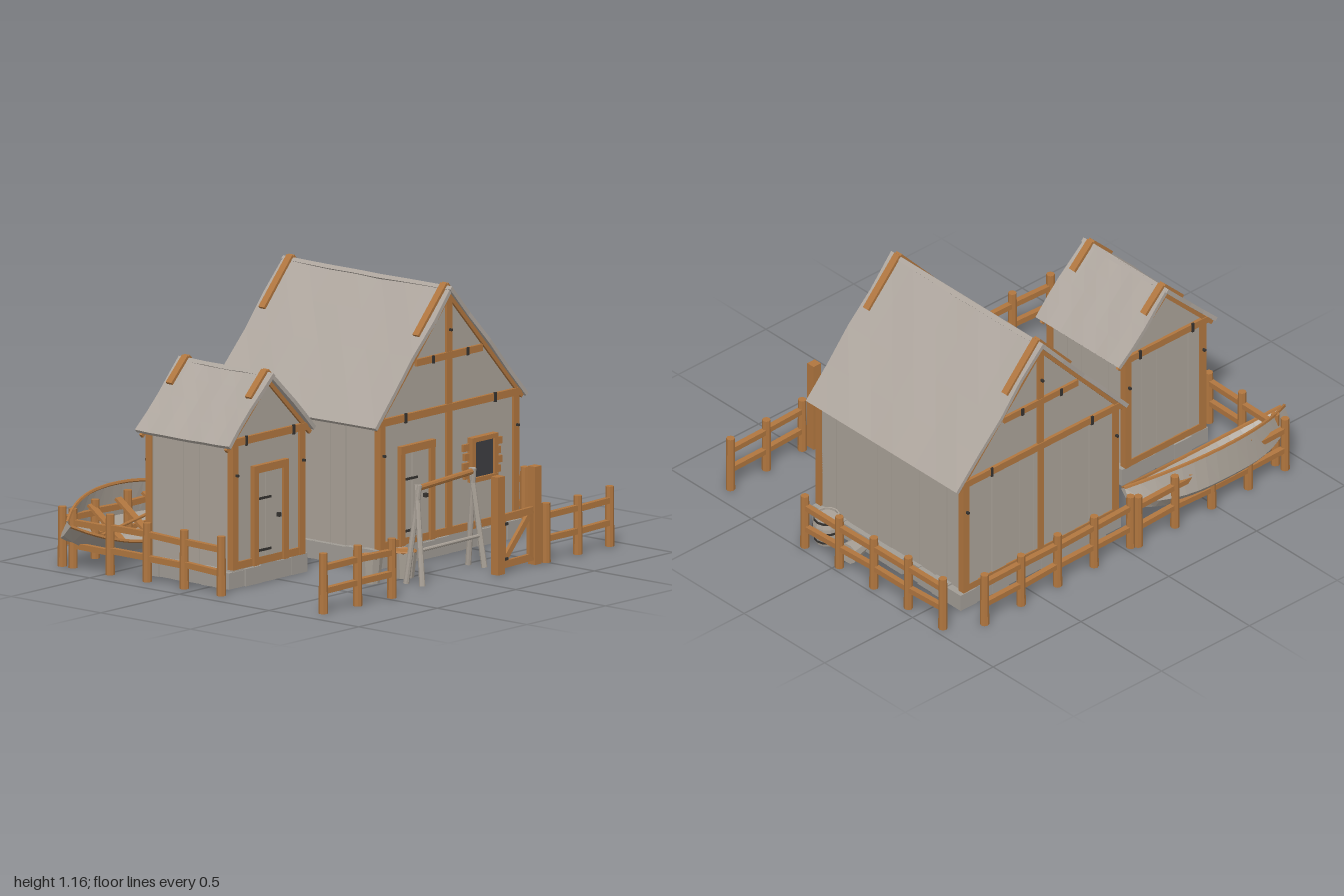
import * as THREE from 'three';

const mat = (name, color, extra = {}) => {
  const m = new THREE.MeshStandardMaterial({ color, flatShading: true, ...extra });
  m.name = name;
  return m;
};
const V = (x, y, z) => new THREE.Vector3(x, y, z);

export function createModel() {
  const model = new THREE.Group();
  const wood = mat('brown timber', 0xb0763f);
  const plank = mat('weathered planks', 0xaaa298);
  const roofMat = mat('roof boards', 0xaea69e);
  const stone = mat('foundation stone', 0xa19c95);
  const iron = mat('dark iron', 0x35322f);
  const glass = mat('dark window', 0x3e3e42);
  const hullMat = mat('boat boards', 0xaaa298, { side: THREE.DoubleSide });

  let seed = 7;
  const rnd = () => (seed = (seed * 16807) % 2147483647) / 2147483647;

  const add = (parent, name, geo, m) => {
    const mesh = new THREE.Mesh(geo, m);
    mesh.name = name;
    parent.add(mesh);
    return mesh;
  };
  const group = (name, parent = model) => {
    const g = new THREE.Group();
    g.name = name;
    parent.add(g);
    return g;
  };
  // box given by its limits
  const box = (p, name, m, x0, x1, y0, y1, z0, z1) => {
    const b = add(p, name, new THREE.BoxGeometry(x1 - x0, y1 - y0, z1 - z0), m);
    b.position.set((x0 + x1) / 2, (y0 + y1) / 2, (z0 + z1) / 2);
    return b;
  };
  const between = (mesh, a, b) => {
    mesh.position.copy(a).add(b).multiplyScalar(0.5);
    mesh.quaternion.setFromUnitVectors(V(0, 1, 0), b.clone().sub(a).normalize());
    return mesh;
  };
  const bar = (p, name, m, a, b, w, d = w) =>
    between(add(p, name, new THREE.BoxGeometry(w, a.distanceTo(b), d), m), a, b);
  const pole = (p, name, m, a, b, r, r2 = r) =>
    between(add(p, name, new THREE.CylinderGeometry(r2, r, a.distanceTo(b), 8), m), a, b);

  // ---- houses ----
  function house(name, o) {
    const g = group(name);
    const { cx, hw, zf, zb, rw, rf, rb, ridge, eave } = o;
    const slope = (ridge - eave) / rw, ang = Math.atan(slope);
    const x0 = cx - hw, x1 = cx + hw, apex = ridge - 0.03;

    // foundation ring of stones
    const stones = (len, put) => {
      const n = Math.round(len / 0.09);
      for (let i = 0; i < n; i++) put((i * len) / n, ((i + 1) * len) / n, 0.07 + rnd() * 0.015, rnd() * 0.012);
    };
    const fx0 = x0 - 0.025, fx1 = x1 + 0.025, fz0 = zb - 0.015, fz1 = zf + 0.015;
    stones(fx1 - fx0, (a, b, h, j) => {
      box(g, 'foundationStone', stone, fx0 + a, fx0 + b, 0, h, fz1 - 0.09, fz1 - j);
      box(g, 'foundationStone', stone, fx0 + a, fx0 + b, 0, h, fz0 + j, fz0 + 0.09);
    });
    stones(fz1 - fz0 - 0.18, (a, b, h, j) => {
      box(g, 'foundationStone', stone, fx0 + j, fx0 + 0.09, 0, h, fz0 + 0.09 + a, fz0 + 0.09 + b);
      box(g, 'foundationStone', stone, fx1 - 0.09, fx1 - j, 0, h, fz0 + 0.09 + a, fz0 + 0.09 + b);
    });

    // gable walls
    const s = new THREE.Shape([
      new THREE.Vector2(x0, 0.07), new THREE.Vector2(x1, 0.07),
      new THREE.Vector2(x1, apex - slope * hw), new THREE.Vector2(cx, apex),
      new THREE.Vector2(x0, apex - slope * hw)]);
    for (const z of [zf - 0.02, zb])
      add(g, 'gableWall', new THREE.ExtrudeGeometry(s, { depth: 0.02, bevelEnabled: false }), plank).position.z = z;

    // vertical planks on the sides and the back
    const planks = (len, put) => {
      const n = Math.round(len / 0.082);
      for (let i = 0; i < n; i++) put((i * len) / n + 0.001, ((i + 1) * len) / n - 0.001, rnd() * 0.007);
    };
    planks(zf - zb - 0.04, (a, b, j) => {
      box(g, 'sidePlank', plank, x0 + j, x0 + 0.02, 0.07, 0.64, zb + 0.02 + a, zb + 0.02 + b);
      box(g, 'sidePlank', plank, x1 - 0.02, x1 - j, 0.07, 0.64, zb + 0.02 + a, zb + 0.02 + b);
    });
    planks(x1 - x0, (a, b, j) => box(g, 'backPlank', plank, x0 + a, x0 + b, 0.07, 0.62, zb - 0.009 + j, zb));

    // timber frame on both ends
    for (const [z, d] of [[zf, 1], [zb, -1]]) {
      const lo = Math.min(z - d * 0.02, z + d * 0.012), hi = Math.max(z - d * 0.02, z + d * 0.012);
      box(g, 'cornerPost', wood, x0 - 0.008, x0 + 0.027, 0.08, 0.62, lo, hi);
      box(g, 'cornerPost', wood, x1 - 0.027, x1 + 0.008, 0.08, 0.62, lo, hi);
      box(g, 'sillBeam', wood, x0, x1, 0.08, 0.112, lo + 0.002, hi - 0.002);
      box(g, 'tieBeam', wood, x0 - 0.025, x1 + 0.025, 0.61, 0.642, lo - 0.003, hi + 0.003);
      const zi = z + d * 0.016;
      for (const sx of [-1, 1]) {
        box(g, 'beamStrap', iron, cx + sx * o.strap - 0.006, cx + sx * o.strap + 0.006, 0.605, 0.647, zi - 0.004, zi + 0.004);
        box(g, 'postNail', iron, cx + sx * (hw - 0.01) - 0.005, cx + sx * (hw - 0.01) + 0.005, 0.48, 0.49, zi - 0.01, zi + 0.01);
        // rafter below the roof edge
        bar(g, 'rafter', wood, V(cx, apex - 0.01, z + d * 0.004), V(cx + sx * rw * 0.95, apex - 0.01 - slope * rw * 0.95, z + d * 0.004), 0.018, 0.014);
        // short cap board over the ridge
        const l = o.cap, off = 0.004;
        bar(g, 'ridgeCap', wood, V(cx, ridge + off, z - d * o.capIn), V(cx + sx * l, ridge + off - slope * l, z - d * o.capIn), 0.018, 0.032);
      }
      if (o.cross) {
        box(g, 'gablePost', wood, cx - 0.017, cx + 0.017, 0.11, apex - 0.02, lo + 0.001, hi - 0.001);
        box(g, 'gableCrossbar', wood, cx - 0.21, cx + 0.21, 0.835, 0.865, lo - 0.001, hi + 0.001);
        for (const bx of [-0.11, 0.11]) box(g, 'crossNail', iron, cx + bx - 0.006, cx + bx + 0.006, 0.833, 0.867, zi - 0.003, zi + 0.003);
        box(g, 'gableNail', iron, cx - 0.005, cx + 0.005, 0.955, 0.965, zi - 0.01, zi + 0.01);
      }
    }

    // roof slabs, a little uneven
    const run = Math.hypot(rw, ridge - eave), t = 0.018;
    for (const sx of [-1, 1]) {
      const geo = new THREE.BoxGeometry(run, t, rf - rb, 4, 1, 7);
      const p = geo.attributes.position;
      for (let i = 0; i < p.count; i++) {
        const u = p.getX(i), w = p.getZ(i) / (rf - rb);
        p.setY(i, p.getY(i) - 0.005 * Math.cos(w * Math.PI) + 0.0015 * Math.sin(w * 17 + u * 9));
        p.setZ(i, p.getZ(i) + w * 0.008 * Math.sin(u * 14 + sx));
      }
      geo.computeVertexNormals();
      const r = add(g, 'roofSlope', geo, roofMat);
      r.rotation.z = -sx * ang;
      r.position.set(cx + sx * (rw / 2 - Math.sin(ang) * t / 2), (ridge + eave) / 2 - Math.cos(ang) * t / 2, (rf + rb) / 2);
    }

    // door with frame, hinges and handle
    const dx = o.door, z = zf;
    for (let i = 0; i < 3; i++)
      box(g, 'doorPlank', plank, dx - 0.08 + i * 0.0535, dx - 0.028 + i * 0.0535, 0.09, 0.48, z, z + 0.008 + 0.002 * (i % 2));
    box(g, 'doorJamb', wood, dx - 0.11, dx - 0.08, 0.08, 0.48, z - 0.005, z + 0.02);
    box(g, 'doorJamb', wood, dx + 0.08, dx + 0.11, 0.08, 0.48, z - 0.005, z + 0.02);
    box(g, 'doorLintel', wood, dx - 0.11, dx + 0.11, 0.475, 0.508, z - 0.005, z + 0.022);
    for (const y of [0.14, 0.362]) box(g, 'doorHinge', iron, dx - 0.07, dx + 0.005, y - 0.005, y + 0.005, z + 0.008, z + 0.014);
    box(g, 'doorHandle', iron, dx + 0.045, dx + 0.06, 0.268, 0.285, z + 0.008, z + 0.024);
    return g;
  }

  house('smallHouse', { cx: -0.555, hw: 0.222, zf: 0.1, zb: -0.365, rw: 0.28, rf: 0.13, rb: -0.39, ridge: 0.895, eave: 0.622,
    strap: 0.15, cap: 0.105, capIn: 0.012, door: -0.55 });
  const big = house('largeHouse', { cx: 0.36, hw: 0.435, zf: 0.305, zb: -0.59, rw: 0.49, rf: 0.328, rb: -0.61, ridge: 1.148, eave: 0.615,
    strap: 0.285, cap: 0.18, capIn: 0.018, door: 0.15, cross: true });

  // window with log shutters
  for (let i = 0; i < 4; i++) box(big, 'windowLog', wood, 0.455 - 0.008 * (i % 2), 0.685 + 0.008 * (i % 2), 0.3 + i * 0.04, 0.33 + i * 0.04, 0.3, 0.318);
  box(big, 'windowPane', glass, 0.505, 0.63, 0.3, 0.455, 0.317, 0.324);
  for (const x of [0.485, 0.628]) box(big, 'windowFrame', wood, x, x + 0.022, 0.285, 0.47, 0.3, 0.333);
  for (const y of [0.283, 0.455]) box(big, 'windowFrame', wood, 0.485, 0.65, y, y + 0.02, 0.3, 0.335);

  // ---- fences ----
  function fence(name, a, b, n) {
    const g = group(name);
    for (let i = 0; i < n; i++) {
      const p = a.clone().lerp(b, i / (n - 1));
      pole(g, 'fencePost', wood, p, p.clone().setY(0.25 + rnd() * 0.01), 0.02, 0.018);
      if (i) for (const y of [0.1, 0.2]) {
        const q = a.clone().lerp(b, (i - 1) / (n - 1));
        bar(g, 'fenceRail', wood, q.setY(y + (rnd() - 0.5) * 0.01), p.clone().setY(y + (rnd() - 0.5) * 0.01), 0.025, 0.025);
      }
    }
  }
  fence('leftFence', V(-0.91, 0, 0.155), V(-0.895, 0, -0.685), 5);
  fence('backLeftFence', V(-0.9, 0, -0.74), V(-0.06, 0, -0.745), 5);
  fence('backRightFence', V(-0.03, 0, -0.73), V(0.81, 0, -0.74), 5);
  fence('rightFence', V(0.975, 0, 0.195), V(0.96, 0, -0.645), 5);
  fence('frontLeftFence', V(-0.9, 0, 0.715), V(-0.475, 0, 0.725), 3);
  fence('frontRightFence', V(0.495, 0, 0.735), V(0.915, 0, 0.722), 3);

  // gate
  const gate = group('gate');
  box(gate, 'gatePost', wood, 0.155, 0.2, 0, 0.42, 0.725, 0.765);
  box(gate, 'gatePost', wood, 0.42, 0.462, 0, 0.42, 0.7, 0.74);
  const gp = (x, y) => V(x, y, 0.742 - (x - 0.2) * 0.07);
  for (const y of [0.035, 0.235]) bar(gate, 'gateRail', wood, gp(0.19, y), gp(0.415, y), 0.03, 0.018);
  for (const x of [0.212, 0.4]) bar(gate, 'gateStile', wood, gp(x, 0.02), gp(x, 0.25), 0.025, 0.018);
  bar(gate, 'gateBrace', wood, gp(0.215, 0.05), gp(0.4, 0.225), 0.026, 0.016);
  for (const y of [0.06, 0.21]) bar(gate, 'gateHinge', iron, gp(0.19, y).setZ(0.754), gp(0.23, y).setZ(0.754), 0.012, 0.006);

  // drying rack
  const rack = group('dryingRack');
  const ra = V(-0.195, 0.41, 0.622), rb = V(0.225, 0.41, 0.565);
  pole(rack, 'rackBeam', wood, ra, rb, 0.013);
  for (const [top, s] of [[ra, -1], [rb, 1]])
    for (const d of [-1, 1])
      pole(rack, 'rackLeg', plank, V(top.x + s * 0.02, 0, top.z + d * 0.045), V(top.x - s * 0.005, 0.425, top.z - d * 0.008), 0.013, 0.011);
  pole(rack, 'rackCrossbar', plank, V(-0.2, 0.15, 0.65), V(0.232, 0.135, 0.592), 0.008);

  // ---- buckets and barrel ----
  function bucket(name, x, z) {
    const g = group(name);
    g.position.set(x, 0, z);
    add(g, 'bucketSide', new THREE.CylinderGeometry(0.055, 0.042, 0.112, 10), plank).position.y = 0.056;
    add(g, 'bucketRim', new THREE.TorusGeometry(0.05, 0.006, 4, 10).rotateX(Math.PI / 2), wood).position.y = 0.112;
    add(g, 'bucketFill', new THREE.CylinderGeometry(0.046, 0.046, 0.004, 10), wood).position.y = 0.112;
    return g;
  }
  bucket('leftBucket', -0.3, 0.45);
  bucket('rightBucket', -0.125, 0.487);

  const barrel = group('barrel');
  barrel.position.set(0.875, 0, 0.165);
  const prof = [[0, 0], [0.05, 0], [0.062, 0.045], [0.062, 0.09], [0.052, 0.135], [0.045, 0.135], [0.045, 0.125], [0, 0.125]];
  add(barrel, 'barrelBody', new THREE.LatheGeometry(prof.map(p => new THREE.Vector2(...p)), 12), plank);
  for (const [y, r] of [[0.02, 0.058], [0.068, 0.065], [0.115, 0.059]])
    add(barrel, 'barrelHoop', new THREE.CylinderGeometry(r, r, 0.01, 12), iron).position.y = y;

  // tub lying on its side
  const tub = add(group('fallenTub'), 'tubSide', new THREE.CylinderGeometry(0.048, 0.038, 0.08, 10), plank);
  tub.position.set(0.885, 0.045, -0.01);
  tub.rotation.set(0, 0.15, -Math.PI / 2);

  // ---- boat leaning against the fence ----
  const boat = group('boat');
  boat.position.set(-0.545, 0.195, -0.628);
  boat.rotation.x = 0.63;
  const N = 16, L = 0.455;
  const station = t => {
    const f = 1 - Math.abs(t) ** 2.2, w = 0.012 + 0.155 * f, rise = 0.02 * t * t, k = -0.15 + 0.09 * Math.abs(t) ** 3;
    return [[-w, rise], [-w * 0.6, k + 0.02], [0, k], [w * 0.6, k + 0.02], [w, rise]].map(([z, y]) => V(t * L, y, z));
  };
  const pos = [], idx = [];
  for (let i = 0; i <= N; i++) {
    for (const v of station((i / N) * 2 - 1)) pos.push(v.x, v.y, v.z);
    if (i < N) for (let j = 0; j < 4; j++) {
      const a = i * 5 + j, b = a + 5;
      idx.push(a, b, a + 1, b, b + 1, a + 1);
    }
  }
  for (const e of [0, N * 5]) idx.push(e, e + 1, e + 4, e + 1, e + 3, e + 4, e + 1, e + 2, e + 3);
  const hull = new THREE.BufferGeometry();
  hull.setAttribute('position', new THREE.Float32BufferAttribute(pos, 3));
  hull.setIndex(idx);
  hull.computeVertexNormals();
  add(boat, 'hull', hull, hullMat);
  for (const k of [0, 4]) {
    const pts = Array.from({ length: 13 }, (_, i) => station(i / 6 - 1)[k]);
    add(boat, 'gunwale', new THREE.TubeGeometry(new THREE.CatmullRomCurve3(pts), 24, 0.008, 5), wood);
  }
  for (const x of [-0.165, 0.01, 0.18]) box(boat, 'boatSeat', wood, x - 0.018, x + 0.018, -0.05, -0.037, -0.12, 0.12);
  pole(boat, 'oar', wood, V(-0.27, -0.025, 0.06), V(0.33, -0.02, -0.03), 0.007);
  return model;
}
